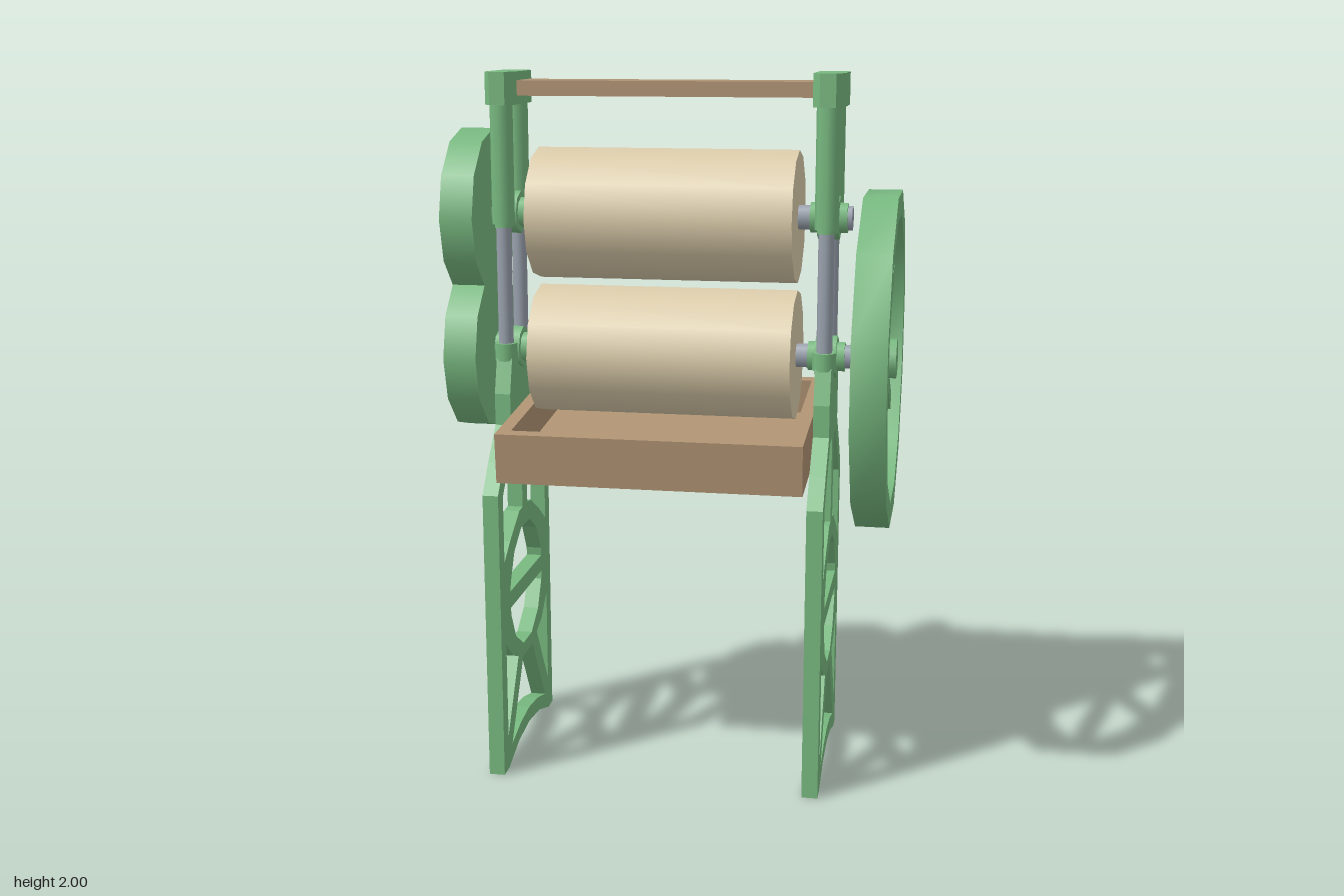
import * as THREE from 'three';
import { toCreasedNormals } from 'three/addons/utils/BufferGeometryUtils.js';

const mat = (color) => new THREE.MeshStandardMaterial({ color });
const GREEN = mat(0x78b980), WOOD = mat(0xb09474), CREAM = mat(0xdccdab), STEEL = mat(0x9aa2ae);
const LOW = 1.215, HIGH = 1.605; // axle heights
const MID = -0.03, SIDE = 0.455; // centre and half spacing of the side frames

function add(parent, name, geo, material, x = 0, y = 0, z = 0) {
  const m = new THREE.Mesh(geo, material);
  m.name = name;
  m.position.set(x, y, z);
  parent.add(m);
  return m;
}

// Cylinder lying along x between two x positions
function rod(parent, name, material, r, x0, x1, y, sides = 12) {
  const g = new THREE.CylinderGeometry(r, r, x1 - x0, sides).rotateZ(-Math.PI / 2);
  return add(parent, name, g, material, (x0 + x1) / 2, y);
}

const box = (w, h, d) => new THREE.BoxGeometry(w, h, d);
const pts = (list) => list.map(([u, v]) => new THREE.Vector2(u, v));
const flip = (list) => list.map(([u, v]) => [-u, v]).reverse();

// Cast side frame: outline in (z, y) with cut-outs
function sideFrameGeometry(depth) {
  const half = [[0.285, 0], [0.285, 0.84], [0.22, 0.92], [0.135, 1.01], [0.135, 1.1], [0.1, 1.22]];
  const foot = [[-0.235, 0], [-0.12, 0.037], [0, 0.05], [0.12, 0.037], [0.235, 0]];
  const shape = new THREE.Shape(pts([...foot, ...half, ...flip(half)]));
  const hole = (list) => shape.holes.push(new THREE.Path(pts(list)));
  const upper = [[0.235, 0.63], [0.235, 0.825], [0.18, 0.89], [0.09, 0.985], [0.027, 0.985],
    [0.027, 0.738], [0.065, 0.735], [0.17, 0.675]];
  const lower = [[0.235, 0.385], [0.17, 0.325], [0.107, 0.3], [0.235, 0.1]];
  for (const h of [upper, lower]) { hole(h); hole(flip(h)); }
  hole([[0.055, 0.28], [-0.055, 0.28], [-0.195, 0.06], [-0.1, 0.085], [0, 0.095], [0.1, 0.085], [0.195, 0.06]]);
  // Two halves of the ring opening, split by a crossbar
  const arc = [[0.178, 0.525], [0.174, 0.55], [0.128, 0.63], [0.048, 0.68]];
  const top = [...arc, ...flip(arc)];
  hole(top);
  hole(top.map(([u, v]) => [u, 1 - v]).reverse());
  return new THREE.ExtrudeGeometry(shape, { depth, bevelEnabled: false })
    .translate(0, 0, -depth / 2).rotateY(-Math.PI / 2);
}

// One side: frame, posts, bearings and cap
function createSide(s) {
  const side = new THREE.Group();
  side.name = s > 0 ? 'leftSide' : 'rightSide';
  side.position.x = MID + s * SIDE;
  add(side, 'sideFrame', sideFrameGeometry(0.045), GREEN);
  for (const z of [-0.082, 0.082]) {
    add(side, 'postRod', new THREE.CylinderGeometry(0.022, 0.022, 0.46, 8), STEEL, 0, 1.4, z);
    add(side, 'postSleeve', new THREE.CylinderGeometry(0.033, 0.033, 0.3, 8), GREEN, 0, 1.775, z);
    add(side, 'postFerrule', new THREE.CylinderGeometry(0.026, 0.026, 0.06, 8), GREEN, 0, 1.6, z);
  }
  for (const y of [LOW, HIGH]) {
    rod(side, 'bearingHub', GREEN, 0.06, -0.03, 0.03, y, 8);
    rod(side, 'bearingCollar', GREEN, 0.042, -0.052, 0.052, y, 8);
    add(side, 'bearingArm', box(0.03, 0.04, 0.15), GREEN, 0, y);
    for (const z of [-0.082, 0.082])
      add(side, 'bearingRing', new THREE.CylinderGeometry(0.033, 0.033, 0.05, 8), GREEN, 0, y, z);
  }
  // Chamfered cap joining both posts
  const q = [[0.022, 0.125], [0.043, 0.09], [0.043, -0.09], [0.022, -0.125]];
  const cap = new THREE.ExtrudeGeometry(new THREE.Shape(pts([...q, ...q.map(([a, b]) => [-a, -b])])),
    { depth: 0.09, bevelEnabled: false }).rotateX(-Math.PI / 2);
  add(side, 'postCap', cap, GREEN, 0, 1.91);
  return side;
}

// Hand wheel: twelve-sided rim, six spokes and hub
function createWheel() {
  const wheel = new THREE.Group();
  wheel.name = 'handWheel';
  wheel.position.set(0.572, LOW, 0);
  const R = 0.475, r = 0.407, h = 0.0475;
  const rim = new THREE.LatheGeometry(pts([[r, -h], [R, -h], [R, h], [r, h], [r, -h]]), 12, Math.PI / 12);
  add(wheel, 'wheelRim', toCreasedNormals(rim.rotateZ(-Math.PI / 2), 0.6), GREEN);
  for (let i = 0; i < 3; i++)
    add(wheel, 'wheelSpokes', box(0.04, 0.82, 0.05), GREEN).rotation.x = i * Math.PI / 3;
  rod(wheel, 'wheelHub', GREEN, 0.057, -0.045, 0.05, 0, 8).rotation.x = Math.PI / 8;
  return wheel;
}

// Open tray, sloping down to the front
function createTray() {
  const tray = new THREE.Group();
  tray.name = 'tray';
  tray.position.set(MID, 0.988, 0);
  tray.rotation.x = 0.085;
  const w = 0.85, d = 0.66, h = 0.142, t = 0.038;
  add(tray, 'trayFloor', box(w, 0.04, d), WOOD, 0, -h / 2 + 0.02);
  for (const s of [-1, 1]) {
    add(tray, 'trayEnd', box(t, h, d), WOOD, s * (w - t) / 2);
    add(tray, 'trayWall', box(w, h, t), WOOD, 0, 0, s * (d - t) / 2);
  }
  return tray;
}

export function createModel() {
  const model = new THREE.Group();
  model.name = 'mangle';
  model.add(createSide(-1), createSide(1), createWheel(), createTray());
  // Rollers with their axles and drive gears
  for (const [y, end] of [[LOW, 0.62], [HIGH, 0.49]]) {
    rod(model, 'roller', CREAM, 0.185, -0.4, 0.34, y);
    rod(model, 'axle', STEEL, 0.034, -0.55, end, y, 8);
    rod(model, 'gear', GREEN, 0.236, -0.625, -0.532, y);
  }
  add(model, 'topBoard', box(0.85, 0.042, 0.142), WOOD, MID, 1.955);
  return model;
}
